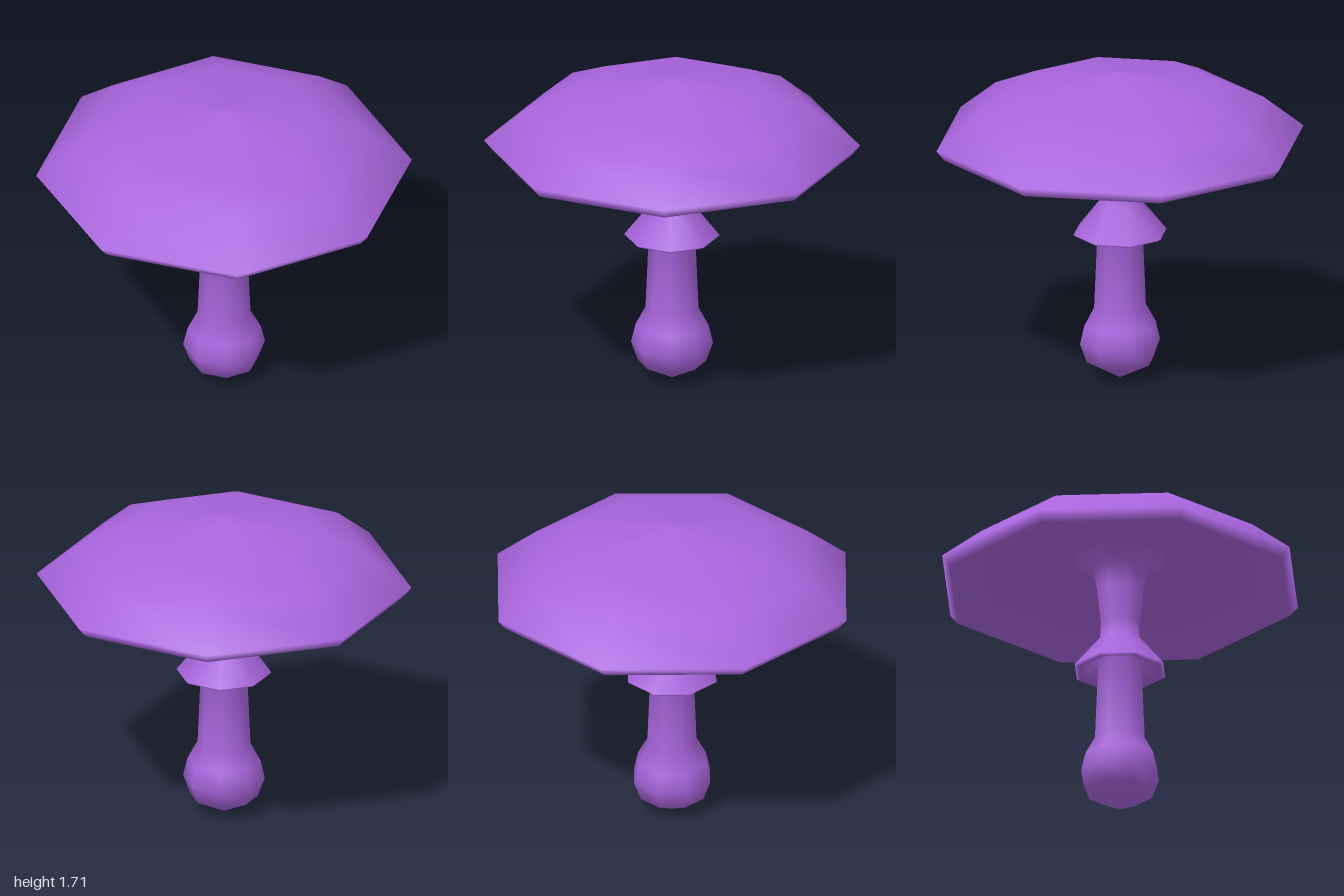
import * as THREE from 'three';

const SIDES = 8;

// Turns a [radius, height] profile (bottom to top along the outside) into a smooth eight-sided solid
function turned(name, profile, material) {
  const points = profile.map(([r, y]) => new THREE.Vector2(r, y));
  const mesh = new THREE.Mesh(new THREE.LatheGeometry(points, SIDES), material);
  mesh.name = name;
  return mesh;
}

export function createModel() {
  const group = new THREE.Group();
  group.name = 'mushroom';
  const purple = new THREE.MeshStandardMaterial({ color: 0xa864dc });

  // Stem: pointed bulb, shaft, hollow-skirted ring, neck flaring into the cap
  group.add(turned('stem', [
    [0, 0], [0.18, 0.095], [0.218, 0.2], [0.195, 0.3], [0.141, 0.4],
    [0.122, 0.85],
    [0.236, 0.8], [0.254, 0.813],
    [0.112, 0.99], [0.108, 1.08], [0.13, 1.28], [0.15, 1.39], [0.26, 1.45],
  ], purple));

  // Cap: hollow underside, bevelled rim, shallow domed top
  group.add(turned('cap', [
    [0, 1.45], [0.26, 1.45], [0.66, 1.43], [0.9, 1.3],
    [0.955, 1.28], [1, 1.335],
    [0.78, 1.512], [0.54, 1.616], [0, 1.71],
  ], purple));

  return group;
}
